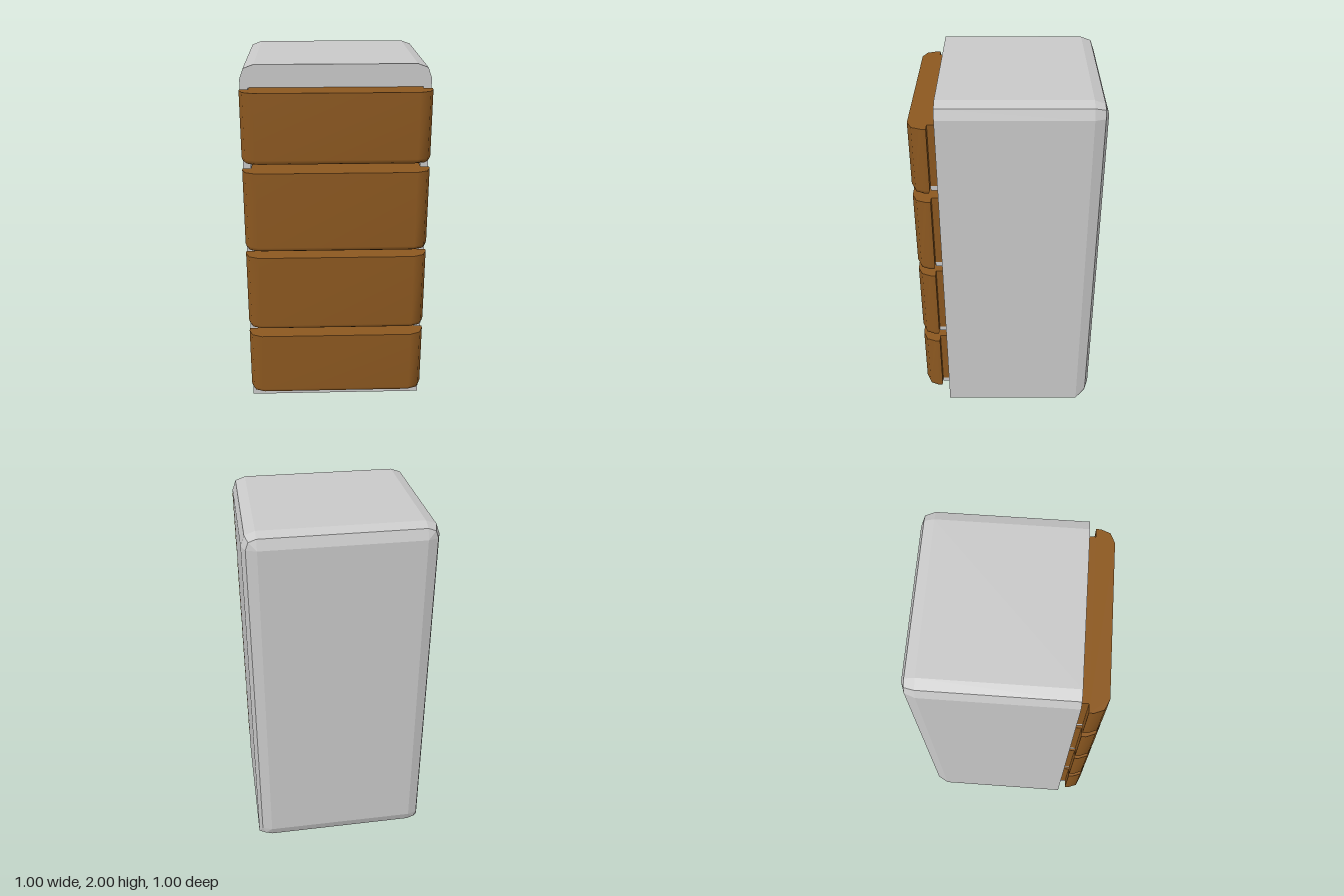
import * as THREE from 'three';

const grey = new THREE.MeshStandardMaterial({ color: 0xc9c9c9 });
grey.name = 'greyCabinet';
const brown = new THREE.MeshStandardMaterial({ color: 0x8c5820 });
brown.name = 'brownWood';

// Skins convex rings, each counter-clockwise about the direction of the stack
function loft(rings, capStart, capEnd) {
  const pos = rings.flat(2), index = [], n = rings[0].length;
  for (let r = 0; r < rings.length - 1; r++) {
    for (let i = 0; i < n; i++) {
      const a = r * n + i, b = r * n + (i + 1) % n;
      index.push(a, b, b + n, a, b + n, a + n);
    }
  }
  // Caps own their vertices so their edges stay sharp
  const cap = (ring, flip) => {
    const s = pos.length / 3;
    pos.push(...ring.flat());
    for (let i = 1; i < n - 1; i++) index.push(s, s + (flip ? i + 1 : i), s + (flip ? i : i + 1));
  };
  if (capStart) cap(rings[0], true);
  if (capEnd) cap(rings[rings.length - 1], false);
  const g = new THREE.BufferGeometry();
  g.setAttribute('position', new THREE.Float32BufferAttribute(pos, 3));
  g.setIndex(index);
  g.computeVertexNormals();
  return g;
}

function faceted(g) {
  const f = g.toNonIndexed();
  f.computeVertexNormals();
  return f;
}

function addMesh(parent, name, geometry, material, x = 0, y = 0, z = 0) {
  const m = new THREE.Mesh(geometry, material);
  m.name = name;
  m.position.set(x, y, z);
  parent.add(m);
  return m;
}

// Cabinet outline at one depth; bottom and top each list the right-hand corner points
function cabinetRing(z, bottom, top) {
  const right = [...bottom, ...top];
  const left = right.map(([x, y]) => [-x, y]).reverse();
  return [...right, ...left].map(([x, y]) => [x, y, z]);
}

const OPEN = { x: 0.458, y0: 0.1, y1: 1.88, back: -0.42, front: 0.36 };

function buildCabinet(parent) {
  const corner = [[0.5, 0], [0.5, 0], [0.5, 0]];
  const topArc = [[0.5, 1.925], [0.48, 1.98], [0.425, 2]];
  const front = cabinetRing(OPEN.front, corner, topArc);
  const rings = [
    cabinetRing(-0.5, Array(3).fill([0.425, 0.075]), Array(3).fill([0.425, 1.925])),
    cabinetRing(-0.48, [[0.425, 0.02], [0.465, 0.035], [0.48, 0.075]],
      [[0.48, 1.925], [0.465, 1.965], [0.425, 1.98]]),
    cabinetRing(-0.425, corner, topArc),
    front,
  ];
  addMesh(parent, 'cabinetShell', faceted(loft(rings, true, false)), grey);

  // Front frame around the drawer opening
  const outline = [[0.5, 0], ...topArc];
  const frame = new THREE.Shape([...outline, ...outline.map(([x, y]) => [-x, y]).reverse()]
    .map(([x, y]) => new THREE.Vector2(x, y)));
  frame.holes.push(new THREE.Path([[-1, 0], [-1, 1], [1, 1], [1, 0]]
    .map(([sx, t]) => new THREE.Vector2(sx * OPEN.x, t ? OPEN.y1 : OPEN.y0))));
  addMesh(parent, 'cabinetFrontFrame', new THREE.ShapeGeometry(frame), grey, 0, 0, OPEN.front);

  // Inner walls: a box turned inside out
  const inner = new THREE.BoxGeometry(OPEN.x * 2, OPEN.y1 - OPEN.y0, OPEN.front - OPEN.back);
  inner.scale(1, 1, -1);
  addMesh(parent, 'cabinetInterior', faceted(inner), grey,
    0, (OPEN.y0 + OPEN.y1) / 2, (OPEN.front + OPEN.back) / 2);
}

// Drawer front outline from above, shrunk by an inset on every side
function drawerRing(y, inset) {
  const half = [[0.5, 0.4], [0.5, 0.425], [0.48, 0.475], [0.425, 0.5]];
  const pts = [...half.map(([x, z]) => [-x, z]), ...half.slice().reverse()];
  pts.push([0.5, 0.4], [-0.5, 0.4]);
  return pts.map(([x, z]) => [x * (1 - inset / 0.5), y, 0.45 + (z - 0.45) * (1 - inset / 0.05)]);
}

function buildDrawer(parent, y0, y1) {
  const drawer = new THREE.Group();
  drawer.name = 'drawer';
  parent.add(drawer);
  const rings = [
    drawerRing(y0, 0.018),
    drawerRing(y0 + 0.008, 0.006),
    drawerRing(y0 + 0.026, 0),
    drawerRing(y1, 0),
  ];
  addMesh(drawer, 'drawerFront', loft(rings, true, true), brown);

  // Box behind the front, with a thin base below it
  const base = 0.028, depth = 0.8;
  addMesh(drawer, 'drawerBox', new THREE.BoxGeometry(0.908, y1 - y0 - base, depth), brown,
    0, (y0 + base + y1) / 2, 0.4 - depth / 2);
  addMesh(drawer, 'drawerBase', new THREE.BoxGeometry(0.908, base, depth), grey,
    0, y0 + base / 2, 0.4 - depth / 2);
}

export function createModel() {
  const model = new THREE.Group();
  model.name = 'drawerCabinet';
  buildCabinet(model);
  for (const [y0, y1] of [[0.1, 0.48], [0.525, 0.97], [1.005, 1.455], [1.5, 1.88]]) {
    buildDrawer(model, y0, y1);
  }
  return model;
}
